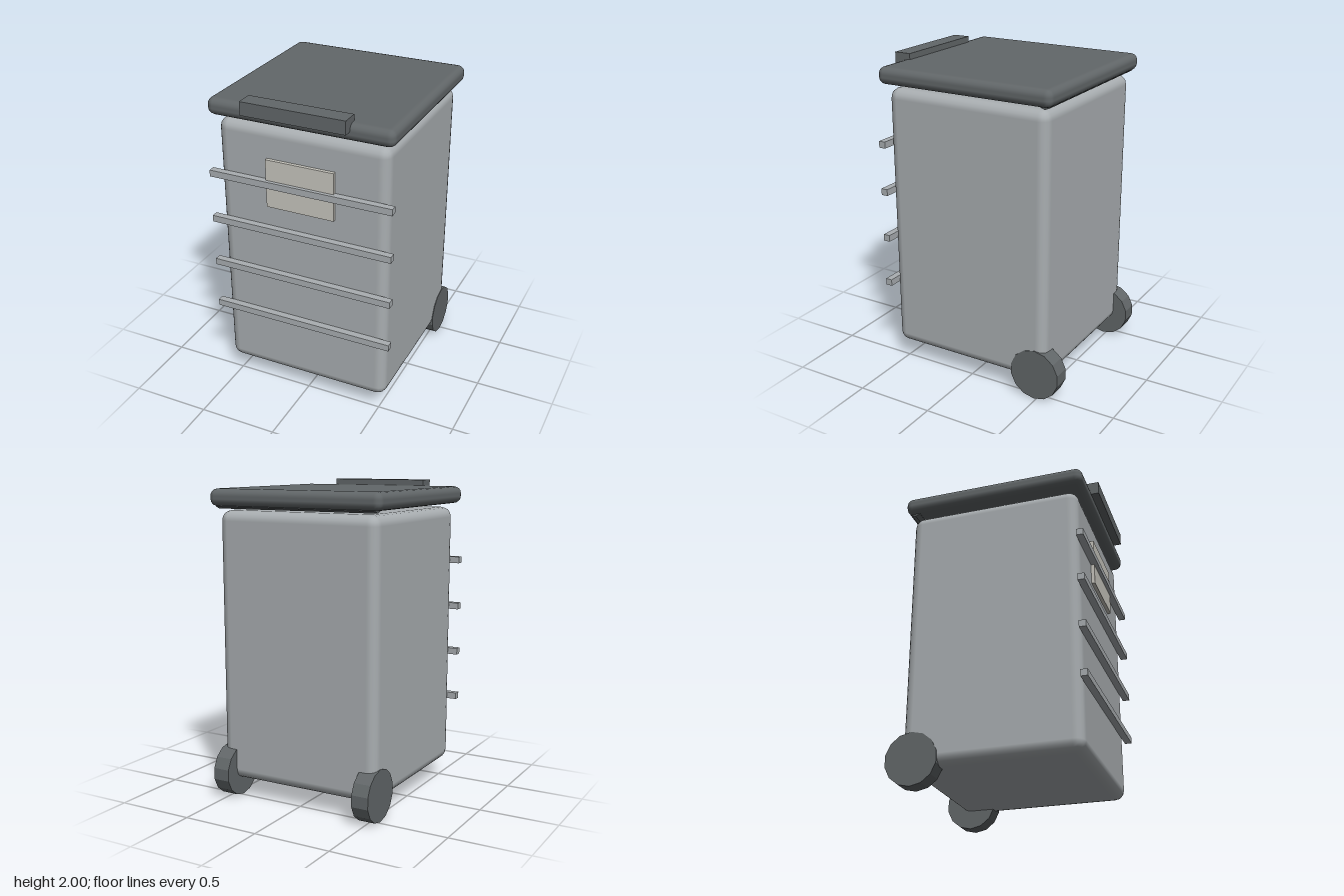
import * as THREE from 'three';
import { RoundedBoxGeometry } from 'three/addons/geometries/RoundedBoxGeometry.js';

function material(name, color) {
  const m = new THREE.MeshStandardMaterial({ color });
  m.name = name;
  return m;
}

export function createModel() {
  const group = new THREE.Group();
  group.name = 'wheeledBin';
  const grey = material('light grey plastic', 0xa9aeb1);
  const dark = material('dark grey plastic', 0x626769);
  const cream = material('pale label', 0xc8c6be);

  function add(name, geometry, mat, x, y, z) {
    const mesh = new THREE.Mesh(geometry, mat);
    mesh.name = name;
    mesh.position.set(x, y, z);
    group.add(mesh);
    return mesh;
  }

  // Cylinder lying along x, with flat facets
  function axle(radius, length, sides) {
    return new THREE.CylinderGeometry(radius, radius, length, sides)
      .rotateZ(Math.PI / 2).toNonIndexed();
  }
  function flat(geometry) {
    geometry.computeVertexNormals();
    return geometry;
  }

  // Body and lid
  add('body', new RoundedBoxGeometry(1.1, 1.71, 1.1, 2, 0.065), grey, 0, 0.975, 0);
  add('lid', new RoundedBoxGeometry(1.186, 0.108, 1.186, 2, 0.045), dark, 0, 1.908, 0);

  // Handle on the front edge of the lid, hinge rod below its back edge
  add('lidHandle', new THREE.BoxGeometry(0.66, 0.084, 0.11), dark, 0, 1.958, 0.589);
  add('hingeRod', flat(axle(0.042, 1.1, 8).rotateX(Math.PI / 2)), dark, 0, 1.882, -0.535);

  // Front ribs
  for (let i = 0; i < 4; i++) {
    add('frontRib', new THREE.BoxGeometry(1.186, 0.042, 0.044), grey, 0, 0.552 + i * 0.309, 0.573);
  }

  // Label plate
  add('labelPlate', new THREE.BoxGeometry(0.44, 0.308, 0.022), cream, 0, 1.479, 0.561);

  // Rear wheels, a vertex at top and bottom
  for (const side of [-1, 1]) {
    add(side > 0 ? 'leftWheel' : 'rightWheel', flat(axle(0.165, 0.11, 14).rotateX(Math.PI / 2)),
      dark, side * 0.499, 0.165, -0.484);
  }
  return group;
}
